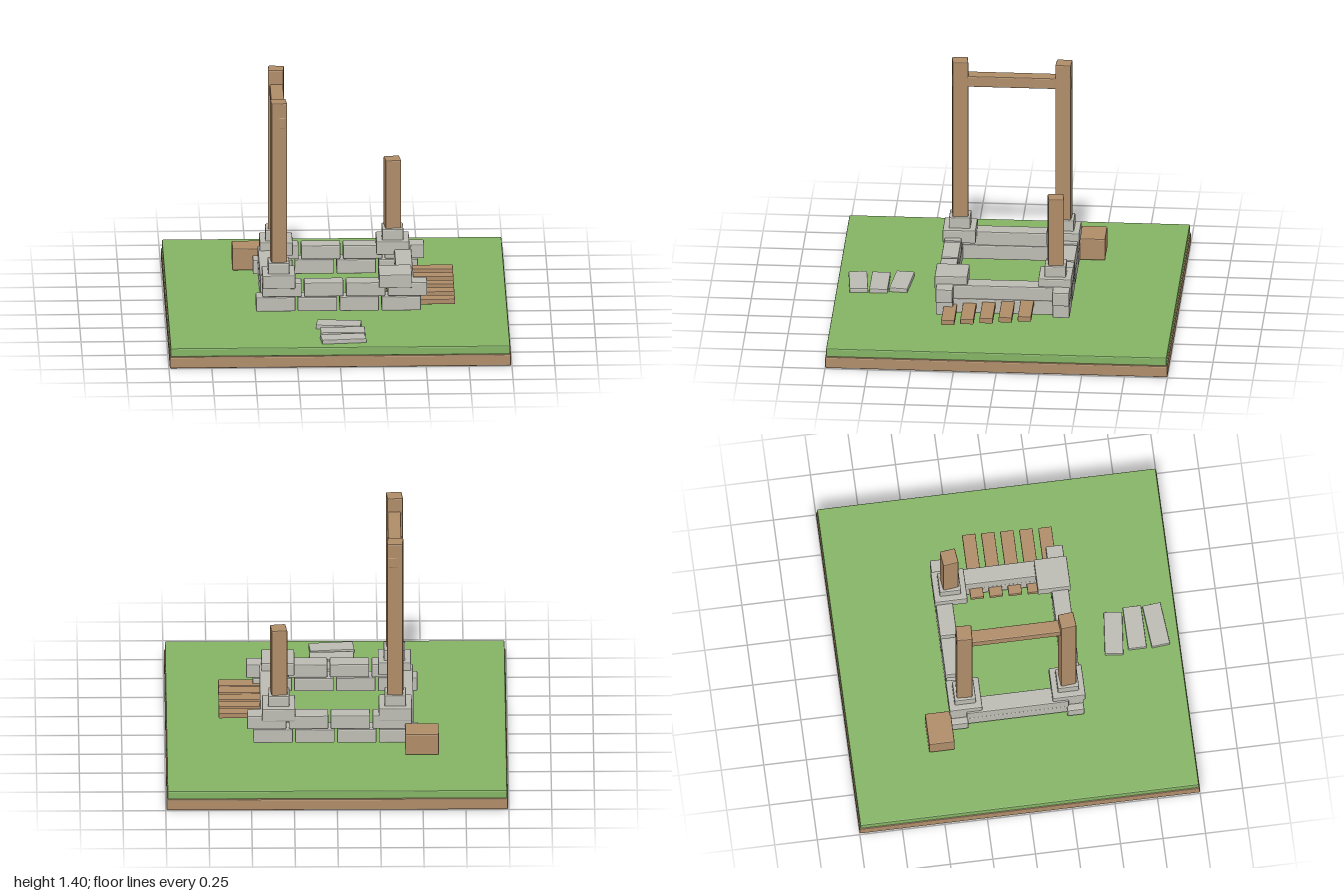
import * as THREE from 'three';
import { RoundedBoxGeometry } from 'three/addons/geometries/RoundedBoxGeometry.js';

function material(name, color) {
  const m = new THREE.MeshStandardMaterial({ color });
  m.name = name;
  return m;
}

export function createModel() {
  const model = new THREE.Group();
  model.name = 'ruinedHut';
  const wood = material('brown wood', 0xb08d69);
  const grass = material('grass green', 0x86b566);
  const stone = material('grey stone', 0xbdbcb4);

  // Box with narrow flat chamfers, placed by its min and max on each axis
  function block(name, mat, [x0, x1], [y0, y1], [z0, z1], turn = 0, bevel = 0.007) {
    const geo = new RoundedBoxGeometry(x1 - x0, y1 - y0, z1 - z0, 1, bevel);
    geo.computeVertexNormals();
    const mesh = new THREE.Mesh(geo, mat);
    mesh.name = name;
    mesh.position.set((x0 + x1) / 2, (y0 + y1) / 2, (z0 + z1) / 2);
    mesh.rotation.y = turn;
    model.add(mesh);
  }
  const around = (c, size) => [c - size / 2, c + size / 2];

  // Ground slab
  block('soil', wood, [-0.995, 0.995], [0, 0.07], [-1, 1]);
  block('grass', grass, [-0.99, 0.99], [0.07, 0.122], [-0.995, 0.995]);

  // Front and back walls: two staggered courses of four stones
  for (const z of [-0.343, 0.338]) {
    for (let i = 0; i < 4; i++) {
      const x = -0.362 + i * 0.244;
      block('lowerWallStone', stone, around(x, 0.23), [0.138, 0.225], around(z, 0.1));
      block('upperWallStone', stone, around(x + 0.037, 0.23), [0.228, 0.313], around(z, 0.1));
    }
  }

  // Side walls: two long courses each
  for (const x of [-0.4, 0.395]) {
    block('lowerSideWall', stone, around(x, 0.1), [0.138, 0.228], [-0.3, 0.3]);
    block('upperSideWall', stone, around(x, 0.1), [0.226, 0.313], [-0.3, 0.3]);
  }

  // Corner piers; postTop 0 marks the corner that has lost its post
  const corners = [
    [-0.343, 0.303, 1.405, 0.1],
    [-0.343, -0.303, 1.405, -0.05],
    [0.337, -0.303, 0.845, 0.12],
    [0.337, 0.303, 0, 0],
  ];
  for (const [x, z, postTop, turn] of corners) {
    block('cornerCap', stone, around(x, 0.193), [0.28, 0.362], around(z, 0.193));
    if (!postTop) continue;
    block('postFooting', stone, around(x, 0.125), [0.355, 0.428], around(z, 0.125));
    block('post', wood, around(x, 0.092), [0.42, postTop], around(z, 0.092), turn);
  }

  // Beam between the two tall posts
  block('crossBeam', wood, around(-0.341, 0.078), [1.25, 1.318], [-0.35, 0.35]);

  // Fallen planks sticking through the right wall
  for (let i = 0; i < 5; i++) {
    block('plank', wood, [0.29, 0.685], around(0.176 + i * 0.009, 0.032),
      around(0.305 - i * 0.112, 0.078), 0, 0.004);
  }

  // Crate at the back corner
  block('crate', wood, [-0.595, -0.4], [0.13, 0.265], [-0.54, -0.39]);

  // Stepping stones
  for (const [x, z, turn] of [[0, 0.62, -0.1], [0.02, 0.747, 0], [0.02, 0.873, 0.09]]) {
    block('steppingStone', stone, around(x, 0.26), [0.118, 0.147], around(z, 0.108), turn, 0.005);
  }

  return model;
}
